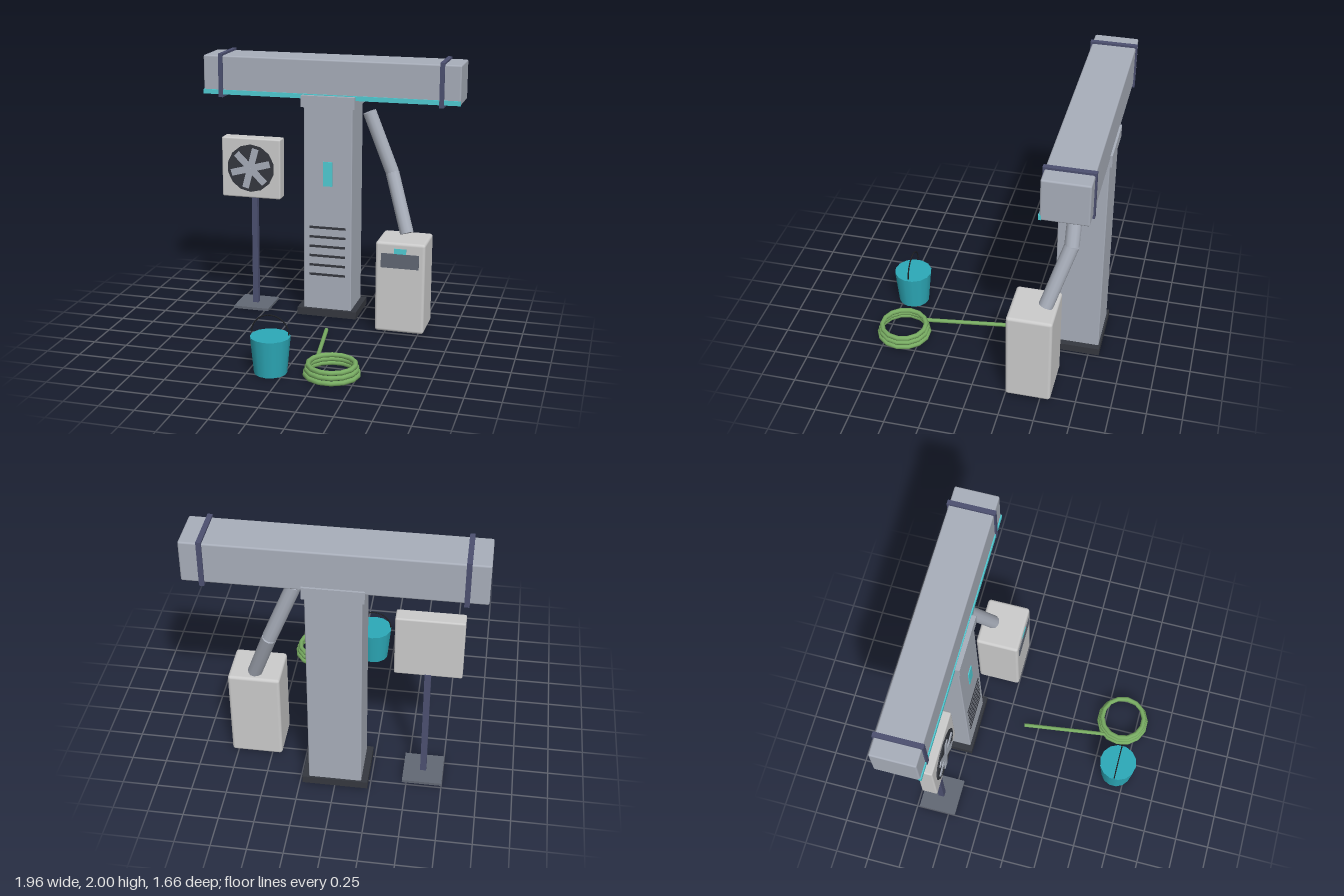
import * as THREE from 'three';
import { RoundedBoxGeometry } from 'three/addons/geometries/RoundedBoxGeometry.js';

const mat = (color) => new THREE.MeshStandardMaterial({ color });

export function createModel() {
  const root = new THREE.Group();
  root.name = 'coolingStation';
  const steel = mat(0xa8aeba), white = mat(0xd4d4d4), cyan = mat(0x50ccd4);
  const navy = mat(0x4c5070), dark = mat(0x35383f), slate = mat(0x626874);
  const teal = mat(0x2ca9b8), green = mat(0x78ac62), black = mat(0x1e2024);

  const group = (name, x = 0, y = 0, z = 0) => {
    const g = new THREE.Group();
    g.name = name;
    g.position.set(x, y, z);
    root.add(g);
    return g;
  };
  const add = (parent, name, geometry, material, x = 0, y = 0, z = 0) => {
    const m = new THREE.Mesh(geometry, material);
    m.name = name;
    m.position.set(x, y, z);
    parent.add(m);
    return m;
  };
  // Box given by its minimum and maximum corners; r rounds the edges
  const box = (parent, name, material, [x0, x1], [y0, y1], [z0, z1], r = 0) => {
    const s = [x1 - x0, y1 - y0, z1 - z0];
    const g = r ? new RoundedBoxGeometry(...s, 2, r) : new THREE.BoxGeometry(...s);
    return add(parent, name, g, material, (x0 + x1) / 2, (y0 + y1) / 2, (z0 + z1) / 2);
  };
  // Cylinder between two points
  const rod = (parent, name, material, a, b, r, sides) => {
    const p = new THREE.Vector3(...a), d = new THREE.Vector3(...b).sub(p);
    const m = add(parent, name, new THREE.CylinderGeometry(r, r, d.length(), sides), material);
    m.position.copy(p).addScaledVector(d, 0.5);
    m.quaternion.setFromUnitVectors(new THREE.Vector3(0, 1, 0), d.normalize());
    return m;
  };

  // Overhead beam with its light strip and two straps
  const beam = group('overheadBeam');
  box(beam, 'beamBody', steel, [-0.98, 0.98], [1.69, 1.985], [-0.817, -0.503], 0.012);
  box(beam, 'lightStrip', cyan, [-0.98, 0.98], [1.692, 1.727], [-0.515, -0.495]);
  for (const x of [-0.842, 0.842]) {
    box(beam, 'strap', navy, [x - 0.017, x + 0.017], [1.67, 2], [-0.828, -0.492]);
  }

  // Column with base, cap, screen and vent slots
  const column = group('column');
  box(column, 'columnBody', steel, [-0.187, 0.187], [0.01, 1.65], [-0.815, -0.48], 0.008);
  box(column, 'columnBase', dark, [-0.233, 0.233], [0, 0.057], [-0.828, -0.457]);
  box(column, 'columnCap', steel, [-0.204, 0.204], [1.632, 1.72], [-0.832, -0.462]);
  box(column, 'screen', cyan, [-0.036, 0.036], [1.035, 1.223], [-0.49, -0.473]);
  for (let i = 0; i < 6; i++) {
    const y = 0.333 + i * 0.075;
    box(column, 'ventSlot', dark, [-0.14, 0.14], [y - 0.009, y + 0.009], [-0.49, -0.475]);
  }

  // Standing fan
  const fan = group('standingFan', -0.61);
  box(fan, 'fanFoot', slate, [-0.141, 0.141], [0, 0.02], [-0.732, -0.45]);
  box(fan, 'fanPole', navy, [-0.022, 0.022], [0.02, 0.91], [-0.613, -0.569]);
  box(fan, 'fanHousing', white, [-0.233, 0.233], [0.898, 1.365], [-0.605, -0.493], 0.012);
  const disc = add(fan, 'fanOpening', new THREE.CylinderGeometry(0.185, 0.185, 0.02, 14), dark, 0, 1.133, -0.493);
  disc.rotation.x = Math.PI / 2;
  for (let i = 0; i < 6; i++) {
    const a = THREE.MathUtils.degToRad(15 + 60 * i);
    const blade = add(fan, 'fanBlade', new THREE.BoxGeometry(0.155, 0.052, 0.01), steel,
      0.08 * Math.cos(a), 1.133 + 0.08 * Math.sin(a), -0.481);
    blade.rotation.z = a;
  }

  // Blower cabinet with its bent duct
  const cabinet = group('cabinet');
  box(cabinet, 'cabinetBody', white, [0.424, 0.794], [0.01, 0.705], [-0.575, -0.25], 0.022);
  box(cabinet, 'cabinetPanel', slate, [0.467, 0.75], [0.512, 0.622], [-0.26, -0.246]);
  box(cabinet, 'cabinetDisplay', cyan, [0.563, 0.655], [0.622, 0.662], [-0.26, -0.247]);
  const elbow = [0.463, 1.14, -0.63];
  rod(cabinet, 'upperDuct', steel, [0.282, 1.592, -0.63], elbow, 0.052, 12);
  rod(cabinet, 'lowerDuct', steel, elbow, [0.61, 0.712, -0.492], 0.052, 12);

  // Bucket with a wire handle
  const bucket = group('bucket', -0.095, 0, 0.68);
  add(bucket, 'bucketBody', new THREE.CylinderGeometry(0.14, 0.115, 0.265, 14), teal, 0, 0.1335, 0);
  add(bucket, 'bucketHandle', new THREE.TorusGeometry(0.133, 0.005, 6, 20, Math.PI), black, 0, 0.283, 0);

  // Coiled hose: three stacked loops and a loose end
  const hose = group('hose', 0.327, 0, 0.632);
  for (let i = 0; i < 3; i++) {
    const loop = add(hose, 'hoseLoop', new THREE.TorusGeometry(0.184 - i * 0.01, 0.018, 8, 14), green, 0, 0.022 + i * 0.033, 0);
    loop.rotation.x = Math.PI / 2;
  }
  rod(hose, 'hoseEnd', green, [-0.235, 0.031, -0.745], [-0.145, 0.031, -0.1], 0.015, 8);

  return root;
}
